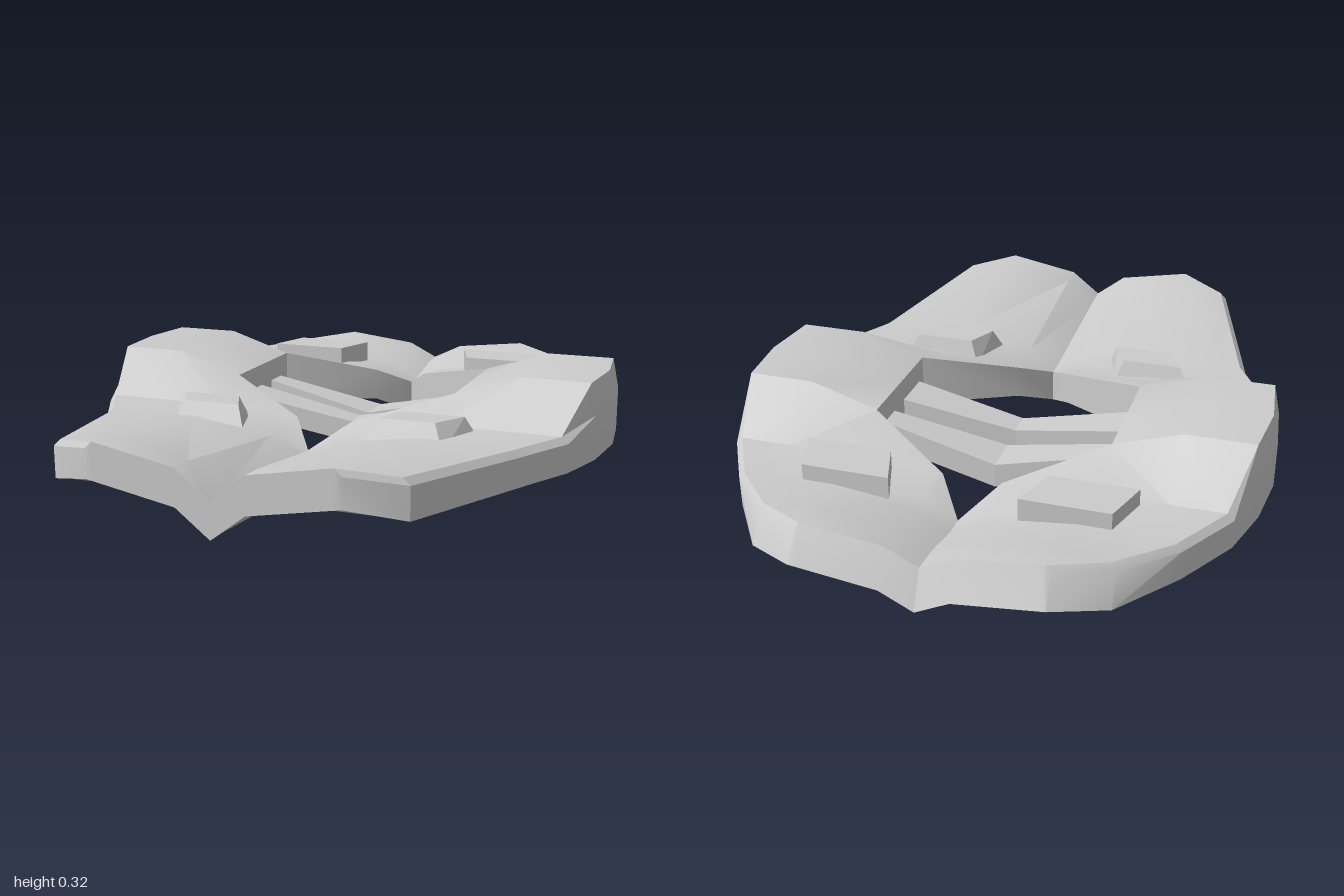
import * as THREE from 'three';
import { toCreasedNormals } from 'three/addons/utils/BufferGeometryUtils.js';

const material = new THREE.MeshStandardMaterial({ color: 0xcccccc });

// Joins matching rings of points (clockwise seen from the first ring's outside) and caps the ends.
// side = -1 mirrors the result across x = 0.
function loft(rings, side = 1, crease = 0.01) {
  const pos = [];
  const tri = (a, b, c) => {
    const pts = side > 0 ? [a, b, c] : [a, c, b];
    for (const [x, y, z] of pts) pos.push(x * side, y, z);
  };
  const quad = (a, b, c, d) => { tri(a, b, c); tri(a, c, d); };
  const n = rings[0].length;
  for (let r = 0; r < rings.length - 1; r++) {
    const A = rings[r], B = rings[r + 1];
    for (let i = 0; i < n; i++) {
      const j = (i + 1) % n;
      // no wall where both halves of a body meet on the centre line
      if (j === 0 && A[0][0] === 0 && B[0][0] === 0) continue;
      quad(A[i], A[j], B[j], B[i]);
    }
  }
  const first = rings[0], last = rings[rings.length - 1];
  for (let i = 0; i < n / 2 - 1; i++) {
    const k = n - 1 - i;
    quad(first[i], first[k], first[k - 1], first[i + 1]);
    quad(last[i], last[i + 1], last[k - 1], last[k]);
  }
  const geo = new THREE.BufferGeometry();
  geo.setAttribute('position', new THREE.Float32BufferAttribute(pos, 3));
  return toCreasedNormals(geo, crease);
}

// Piecewise linear curve through [x, value] points
function curve(points, x) {
  if (x <= points[0][0]) return points[0][1];
  for (let i = 1; i < points.length; i++) {
    const [x0, v0] = points[i - 1], [x1, v1] = points[i];
    if (x <= x1) return v0 + (v1 - v0) * (x - x0) / (x1 - x0);
  }
  return points[points.length - 1][1];
}

// Plate stations: z, inner x (hole), outer x, underside y, groove depth, edge drop, hump height
const STATIONS = [
  [1.0, 0, 0.36, 0.165, 0.125, 0, 0],
  [0.92, 0, 0.51, 0.158, 0.12, 0.03, 0],
  [0.41, 0, 0.66, 0.08, 0.08, 0, 0],
  [0.35, 0, 0.69, 0.08, 0.08, 0, 0],
  [0.22, 0.09, 0.76, 0.08, 0.035, 0, 0],
  [0.05, 0.37, 0.81, 0.08, 0, 0, 0.128],
  [-0.15, 0.37, 0.83, 0.08, 0, 0, 0.128],
  [-0.34, 0.37, 0.81, 0.08, 0, 0, 0.128],
  [-0.52, 0.09, 0.76, 0.08, 0.035, 0, 0],
  [-0.65, 0, 0.685, 0.08, 0.08, 0, 0],
  [-0.71, 0, 0.65, 0.08, 0.08, 0, 0],
  [-0.91, 0, 0.51, 0.112, 0.08, 0.02, 0],
  [-1.0, 0, 0.36, 0.118, 0.08, 0, 0],
];
const GROOVE = [[0, 1], [0.1, 0.38], [0.36, 0]];
const HUMP = [[0.09, 0], [0.37, 0.48], [0.58, 1]];
const DROP = [[0.36, 0], [0.51, 1]];

function plateRing([z, inner, outer, base, groove, drop, hump]) {
  const edge = outer - 0.02;
  const cols = [0, 0.1, 0.36, 0.58, edge].map((x) => Math.min(Math.max(x, inner), edge));
  const under = (x) => base - groove * curve(GROOVE, x) - drop * curve(DROP, x);
  // the rear rim leans forward
  const topZ = z < -0.9 ? z + 0.05 : z;
  const top = cols.map((x) => [x, under(x) + 0.108 + hump * curve(HUMP, x), topZ]);
  const rimY = hump > 0 ? 0.22 : top[4][1] - 0.02;
  top.push([outer, rimY, z < -0.9 ? z + 0.045 : z]);
  const bottom = [...cols, outer].map((x) => [x, under(x), z]);
  return [...top, ...bottom.reverse()];
}

// Bar dipping to the centre: near and far z, bottom and top y, at ends and middle
function barRing(x, zNear, zFar, y0, y1) {
  return [[x, y1, zNear], [x, y1, zFar], [x, y0, zFar], [x, y0, zNear]];
}

export function createModel() {
  const group = new THREE.Group();
  const add = (name, geo) => {
    const mesh = new THREE.Mesh(geo, material);
    mesh.name = name;
    group.add(mesh);
  };

  const plateRings = STATIONS.map(plateRing);
  const at = (y, corners) => corners.map(([x, z]) => [x, y, z]);

  // Raised pads: tapered in front, straight-sided at the back
  const frontPad = [
    at(0.232, [[0.27, 0.26], [0.46, 0.26], [0.4, 0.36], [0.225, 0.36]]),
    at(0.15, [[0.24, 0.235], [0.505, 0.235], [0.435, 0.4], [0.19, 0.4]]),
  ];
  const rearCorners = [[0.19, -0.69], [0.455, -0.69], [0.5, -0.545], [0.24, -0.545]];
  const rearPad = [at(0.238, rearCorners), at(0.14, rearCorners)];

  for (const [label, side] of [['left', 1], ['right', -1]]) {
    add(label + 'PlateHalf', loft(plateRings, side, 0.5));
    add(label + 'FrontPad', loft(frontPad, side));
    add(label + 'RearPad', loft(rearPad, side));
  }

  // Crossbars over the opening
  add('frontCrossbar', loft([
    barRing(0.38, 0.015, -0.125, 0.11, 0.18),
    barRing(0, -0.013, -0.1, 0.04, 0.11),
    barRing(-0.38, 0.015, -0.125, 0.11, 0.18),
  ]));
  add('rearCrossbar', loft([
    barRing(0.38, -0.205, -0.285, 0.1, 0.18),
    barRing(0, -0.18, -0.31, 0.022, 0.1),
    barRing(-0.38, -0.205, -0.285, 0.1, 0.18),
  ]));
  return group;
}
